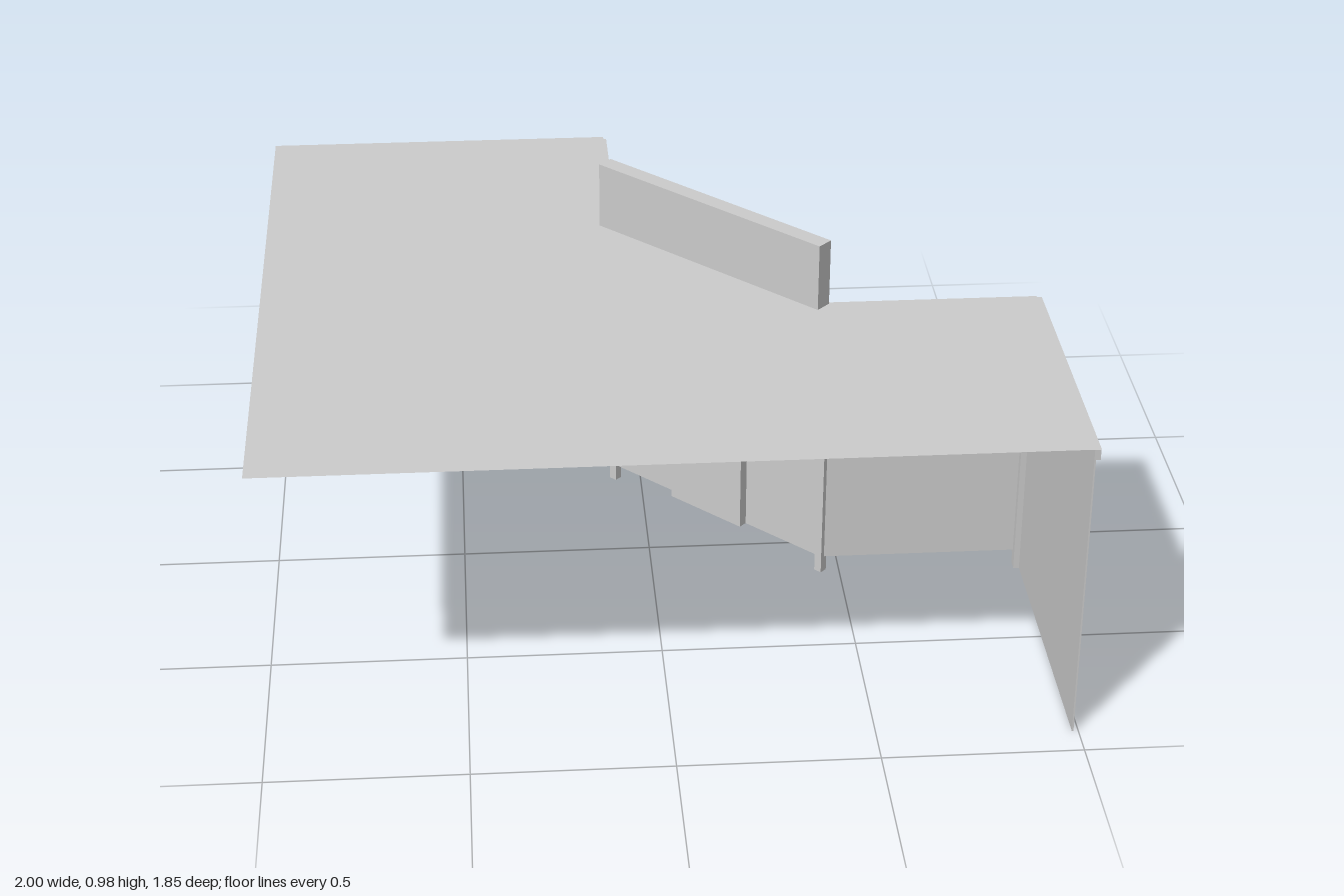
import * as THREE from 'three';

const mat = new THREE.MeshStandardMaterial({ color: 0xcccccc, side: THREE.DoubleSide, flatShading: true });

export function createModel() {
  const root = new THREE.Group();

  function add(name, geometry) {
    const mesh = new THREE.Mesh(geometry, mat);
    mesh.name = name;
    root.add(mesh);
    return mesh;
  }

  // Upright board along the ground segment p-q; off moves it outward (to the street side)
  function board(name, p, q, y0, y1, thick, off = 0) {
    const dx = q[0] - p[0], dz = q[1] - p[1], len = Math.hypot(dx, dz);
    const mesh = add(name, new THREE.BoxGeometry(len, y1 - y0, thick));
    mesh.position.set((p[0] + q[0]) / 2 - dz / len * off, (y0 + y1) / 2, (p[1] + q[1]) / 2 + dx / len * off);
    mesh.rotation.y = Math.atan2(-dz, dx);
    return mesh;
  }

  function post(name, [x, z], y0, y1, size, turn = 0) {
    const mesh = add(name, new THREE.BoxGeometry(size, y1 - y0, size));
    mesh.position.set(x, (y0 + y1) / 2, z);
    mesh.rotation.y = turn;
  }

  // Flat horizontal sheet from an x,z outline
  function sheet(name, outline, y) {
    const g = new THREE.ShapeGeometry(new THREE.Shape(outline.map(p => new THREE.Vector2(...p))));
    g.rotateX(Math.PI / 2);
    add(name, g).position.y = y;
  }

  const segments = (path, fn) => path.slice(1).forEach((q, i) => fn(path[i], q, i));

  // Flat roof
  sheet('roof', [[-1, 0.92], [1, 0.92], [1, 0.14], [0.45, 0.14], [-0.07, -0.38], [-0.07, -0.93], [-1, -0.93]], 0.803);

  // Thin walls with a cornice strip; the two party sides stay open
  const walls = [[0.988, 0.92], [0.988, 0.143], [0.45, 0.143], [-0.073, -0.38], [-0.073, -0.918], [-1, -0.918]];
  segments(walls, (p, q, i) => {
    board('wall', p, q, i === 0 || i === 4 ? 0 : 0.045, 0.802, 0.004, -0.002);
    board('cornice', p, q, 0.775, 0.802, 0.012, 0.005);
  });
  post('cornerBoard', [0.983, 0.154], 0, 0.8, 0.029);
  post('cornerBoard', [-0.086, -0.914], 0, 0.8, 0.029);

  // Corner entrance: false-front sign board and door leaf
  const left = [0.45, 0.14], right = [-0.07, -0.38];
  board('signBoard', [0.45, 0.142], [-0.078, -0.386], 0.8, 0.983, 0.046, -0.022);
  board('door', [0.265, -0.035], [0.092, -0.208], 0.045, 0.27, 0.036, -0.006);
  for (const p of [left, right]) post('wallPost', p, 0, 0.45, 0.022, Math.PI / 4);

  // Window on the left wing: frame and cross bars
  const wx = 0.755, wy = 0.593, ww = 0.155, wh = 0.24, wz = 0.137;
  for (const s of [-1, 1]) {
    const x = wx + s * (ww / 2 - 0.01), y = wy + s * (wh / 2 - 0.01);
    board('windowFrame', [x + 0.01, wz], [x - 0.01, wz], wy - wh / 2, wy + wh / 2, 0.016);
    board('windowFrame', [wx + ww / 2, wz], [wx - ww / 2, wz], y - 0.01, y + 0.01, 0.016);
  }
  board('windowBar', [wx + 0.005, wz], [wx - 0.005, wz], wy - wh / 2, wy + wh / 2, 0.011);
  board('windowBar', [wx + ww / 2, wz], [wx - ww / 2, wz], wy - 0.005, wy + 0.005, 0.011);

  // Sloping porch roof, swept along the inner and outer lines
  const inner = [[0.985, 0.14], left, right, [-0.07, -0.915]];
  const outer = [[0.985, -0.07], [0.54, -0.07], [0.135, -0.475], [0.135, -0.915]];
  const rings = inner.map((a, i) => {
    const b = outer[i];
    return [[a[0], 0.455, a[1]], [b[0], 0.375, b[1]], [b[0], 0.36, b[1]], [a[0], 0.44, a[1]]];
  });
  const pos = [];
  const quad = (a, b, c, d) => pos.push(...a, ...b, ...c, ...a, ...c, ...d);
  for (let i = 0; i < 3; i++) {
    for (let k = 0; k < 4; k++) {
      const n = (k + 1) % 4;
      quad(rings[i][k], rings[i][n], rings[i + 1][n], rings[i + 1][k]);
    }
  }
  quad(...[...rings[0]].reverse());
  quad(...rings[3]);
  const porch = new THREE.BufferGeometry();
  porch.setAttribute('position', new THREE.Float32BufferAttribute(pos, 3));
  porch.computeVertexNormals();
  add('porchRoof', porch);

  // Deck with a skirt and a notched step at the entrance
  const notch = [[0.43, -0.18], [0.405, -0.155], [0.22, -0.34], [0.245, -0.365]];
  const edge = [inner[0], outer[0], outer[1], ...notch, outer[2], outer[3], inner[3]];
  sheet('deck', [...edge, right, left], 0.045);
  segments(edge, (p, q) => board('deckSkirt', p, q, 0, 0.045, 0.006, -0.003));
  board('step', notch[1], notch[2], 0.015, 0.025, 0.035, 0.0175);

  // Porch posts, gate posts and railings
  const posts = [[0.97, -0.05], [0.53, -0.05], [0.12, -0.46], [0.12, -0.9]];
  posts.forEach((p, i) => post('porchPost', p, 0, 0.368, 0.022, i === 1 || i === 2 ? Math.PI / 4 : 0));
  const gates = [[0.44, -0.14], [0.21, -0.37]];
  for (const p of gates) post('gatePost', p, 0.045, 0.15, 0.016, Math.PI / 4);
  const rail = (p, q) => board('rail', p, q, 0.142, 0.155, 0.014);
  rail(posts[0], posts[1]);
  rail(posts[1], [0.43, -0.15]);
  rail([0.22, -0.36], posts[2]);
  rail(posts[2], posts[3]);

  return root;
}
